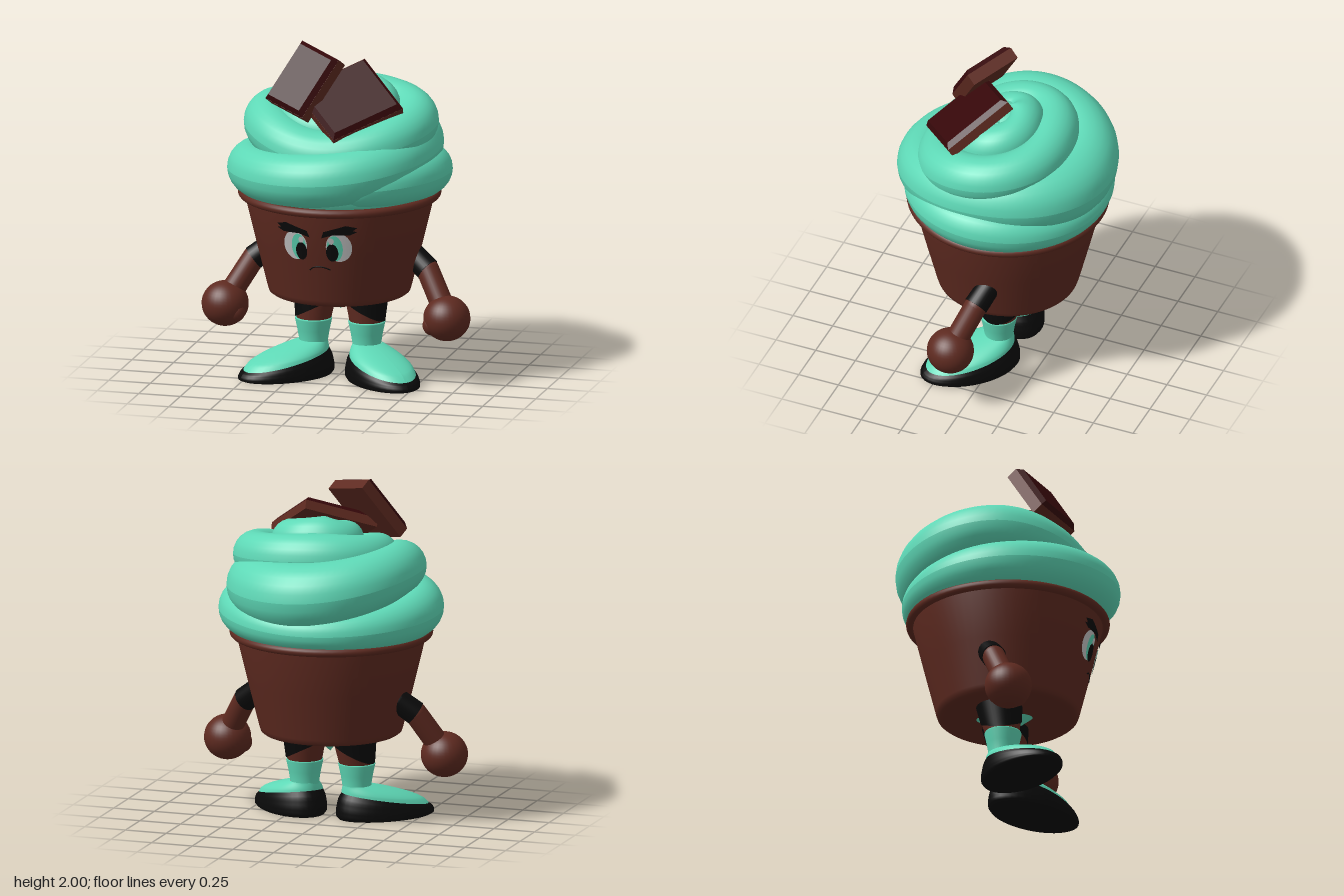
import * as THREE from 'three';
import { ParametricGeometry } from 'three/addons/geometries/ParametricGeometry.js';

const V = (x, y, z) => new THREE.Vector3(x, y, z);

function material(name, color) {
  const m = new THREE.MeshStandardMaterial({ color });
  m.name = name;
  return m;
}

export function createModel() {
  const model = new THREE.Group();
  model.name = 'cupcakeCharacter';
  const brown = material('brown', 0x5e2a20);
  const mint = material('mint', 0x5ed8b6);
  const black = material('black', 0x0a0a0a);
  const chocolate = material('darkChocolate', 0x36080a);
  const white = material('eyeWhite', 0xc8c8c8);

  const add = (name, geometry, mat, pos = V(0, 0, 0)) => {
    const mesh = new THREE.Mesh(geometry, mat);
    mesh.name = name;
    mesh.position.copy(pos);
    model.add(mesh);
    return mesh;
  };
  const surface = (f, nu, nv) => {
    const g = new ParametricGeometry(f, nu, nv);
    g.computeVertexNormals();
    return g;
  };
  const lathe = (pts, n = 64) => new THREE.LatheGeometry(pts.map(p => new THREE.Vector2(...p)), n);
  const limb = (name, a, b, ra, rb, mat) => {
    const d = b.clone().sub(a);
    const m = add(name, new THREE.CylinderGeometry(rb, ra, d.length(), 28), mat, a.clone().add(b).multiplyScalar(0.5));
    m.quaternion.setFromUnitVectors(V(0, 1, 0), d.normalize());
  };

  // Cup and rolled rim
  add('cup', lathe([[0, 0.5], [0.37, 0.5], [0.395, 0.504], [0.41, 0.515], [0.418, 0.54], [0.485, 0.81], [0.55, 1.08], [0.53, 1.11]]), brown);
  const rim = add('cupRim', new THREE.TorusGeometry(0.565, 0.026, 14, 72), brown, V(0, 1.1, 0));
  rim.rotation.x = Math.PI / 2;

  // Frosting core
  add('frostingCore', lathe([[0, 1.09], [0.55, 1.1], [0.54, 1.28], [0.42, 1.45], [0.3, 1.57], [0.16, 1.69], [0.08, 1.74], [0.001, 1.75]]), mint);

  // Frosting rope: height, outer reach and thickness at every quarter turn, from the front
  const keys = [
    [1.23, 0.58, 0.10], [1.245, 0.655, 0.135], [1.20, 0.615, 0.10], [1.24, 0.655, 0.14],
    [1.28, 0.655, 0.16], [1.38, 0.59, 0.17], [1.40, 0.655, 0.20], [1.51, 0.58, 0.15],
    [1.39, 0.51, 0.15], [1.53, 0.57, 0.14], [1.60, 0.43, 0.14], [1.58, 0.42, 0.12],
    [1.51, 0.34, 0.12], [1.62, 0.34, 0.13], [1.67, 0.23, 0.13], [1.66, 0.22, 0.10],
    [1.65, 0.17, 0.09], [1.70, 0.10, 0.07],
  ];
  const rope = new THREE.CatmullRomCurve3(keys.map(k => V(...k)), false, 'catmullrom');
  add('frostingSwirl', surface((u, v, out) => {
    const k = rope.getPoint(v);
    const phi = Math.PI / 2 * v * (keys.length - 1);
    const theta = -2 * Math.PI * u;
    const r = k.z * Math.min(1, v * 60 + 0.02);
    const reach = k.y - k.z + r * Math.cos(theta);
    out.set(reach * Math.sin(phi) + 0.03 * v, k.x + r * Math.sin(theta), reach * Math.cos(phi));
  }, 24, 340), mint);

  // Chocolate squares, placed by top left, top right and bottom left corners of the face
  const slab = (tl, tr, bl, thick) => {
    const u = tr.clone().sub(tl), w = bl.clone().sub(tl);
    const width = u.length(), depth = w.length();
    const x = u.clone().normalize(), y = w.clone().cross(u).normalize();
    const piece = new THREE.Group();
    piece.name = 'chocolateSquare';
    piece.quaternion.setFromRotationMatrix(new THREE.Matrix4().makeBasis(x, y, x.clone().cross(y)));
    piece.position.copy(tr).add(bl).multiplyScalar(0.5);
    const body = new THREE.Mesh(new THREE.BoxGeometry(width, thick, depth), brown);
    body.name = 'chocolateBase';
    body.position.y = -thick / 2 - 0.022;
    const g = new THREE.BoxGeometry(width, 0.03, depth);
    const p = g.attributes.position;
    for (let i = 0; i < p.count; i++) if (p.getY(i) > 0) {
      p.setX(i, p.getX(i) - Math.sign(p.getX(i)) * 0.025);
      p.setZ(i, p.getZ(i) - Math.sign(p.getZ(i)) * 0.025);
    }
    g.computeVertexNormals();
    const face = new THREE.Mesh(g, chocolate);
    face.name = 'chocolateFace';
    face.position.y = -0.008;
    piece.add(body, face);
    model.add(piece);
  };
  slab(V(-0.225, 2.015, 0.08), V(0.04, 1.955, 0.24), V(-0.375, 1.695, 0.265), 0.07);
  slab(V(0.115, 1.915, -0.06), V(0.415, 1.7, 0.19), V(-0.18, 1.74, 0.255), 0.055);

  // Face details wrapped onto the cup wall
  const onCup = (x, y, off) => {
    const r = 0.418 + (y - 0.54) * 0.2444 + off;
    return V(x, y, Math.sqrt(r * r - x * x));
  };
  const decal = (name, pts, side, off, mat) => {
    const n = pts.length;
    const cx = pts.reduce((s, p) => s + p[0], 0) / n, cy = pts.reduce((s, p) => s + p[1], 0) / n;
    add(name, surface((u, v, out) => {
      const t = (side > 0 ? u : 1 - u) * n, i = Math.floor(t), f = t - i;
      const a = pts[i % n], b = pts[(i + 1) % n];
      const x = a[0] + (b[0] - a[0]) * f, y = a[1] + (b[1] - a[1]) * f;
      out.copy(onCup(side * (x + (cx - x) * v), y + (cy - y) * v, off));
    }, n * (n > 10 ? 1 : 4), 5), mat);
  };
  const oval = (cx, cy, rx, ry) => Array.from({ length: 32 }, (_, i) => {
    const a = i / 16 * Math.PI;
    return [cx + rx * Math.cos(a), cy + ry * Math.sin(a)];
  });
  const brow = [[0.035, 0.945], [0.1, 0.965], [0.2, 0.965], [0.24, 0.985], [0.215, 0.99], [0.24, 1.01], [0.18, 1.025], [0.05, 0.985]];
  for (const s of [1, -1]) {
    decal('eyeWhite', oval(0.13, 0.885, 0.074, 0.09), s, 0.003, white);
    decal('iris', oval(0.108, 0.88, 0.045, 0.08), s, 0.005, mint);
    decal('pupil', oval(0.092, 0.853, 0.035, 0.055), s, 0.007, black);
    decal('eyeHighlight', oval(0.09, 0.925, 0.016, 0.02), s, 0.007, white);
    decal('eyebrow', brow, s, 0.009, black);
  }
  const frown = [[-0.05, 0.735], [-0.03, 0.752], [0, 0.76], [0.035, 0.757], [0.075, 0.742]].map(p => onCup(...p, 0.001));
  add('mouth', new THREE.TubeGeometry(new THREE.CatmullRomCurve3(frown), 20, 0.004, 6), black);

  // Hips between the legs
  const hips = add('hips', new THREE.ConeGeometry(0.1, 0.14, 28), mint, V(0, 0.46, -0.02));
  hips.rotation.x = Math.PI;
  hips.scale.z = 2.1;

  for (const s of [1, -1]) {
    // Arm, sleeve and fist
    const shoulder = V(s * 0.43, 0.73, -0.055), cuff = V(s * 0.525, 0.655, -0.02), wrist = V(s * 0.65, 0.44, 0.065);
    add('shoulder', new THREE.SphereGeometry(0.069, 24, 16), black, shoulder);
    limb('sleeve', shoulder, cuff, 0.069, 0.072, black);
    add('elbow', new THREE.SphereGeometry(0.067, 24, 16), brown, cuff);
    limb('forearm', cuff, wrist, 0.067, 0.068, brown);
    const hand = add('hand', new THREE.SphereGeometry(0.137, 32, 24), brown, V(s * 0.667, 0.4, 0.08));
    hand.scale.y = 0.97;
    const thumb = add('thumb', new THREE.SphereGeometry(0.055, 20, 14), brown, V(s * 0.59, 0.365, 0.125));
    thumb.scale.y = 1.1;

    // Thigh, and shorts with a hem that drops towards the outside
    const leg = (low, off) => surface((u, v, out) => {
      const phi = 2 * Math.PI * u;
      const y0 = low(s * Math.sin(phi));
      const y = y0 + (0.54 - y0) * v, t = (y - 0.31) / 0.23;
      const r = 0.098 + 0.036 * t + off;
      out.set(s * (0.16 - 0.014 * t) + r * Math.sin(phi), y, -0.012 - 0.025 * t + r * Math.cos(phi));
    }, 40, 10);
    add('thigh', leg(() => 0.31, 0), brown);
    add('shortsLeg', leg(outward => 0.395 - 0.062 * outward, 0.007), black);
    add('sock', lathe([[0.084, 0.14], [0.084, 0.2], [0.094, 0.26], [0.108, 0.325], [0.106, 0.332], [0.09, 0.332]], 32), mint, V(s * 0.16, 0, -0.01));

    // Shoe: dark sole wall and a mint upper rising to the ankle
    const a = 0.303, b = 0.182;
    const edge = c => 0.105 - 0.05 * c;
    const pos = V(s * 0.29, 0, 0.115);
    const soleProfile = [[0.001, 0], [0.95, 0], [1, 0.12], [1, 0.4], [0.96, 0.75], [0.89, 1]];
    const sole = add('shoeSole', surface((u, v, out) => {
      const t = Math.min(v * 5, 4.9999), i = Math.floor(t), f = t - i;
      const q = soleProfile[i], w = soleProfile[i + 1];
      const r = q[0] + (w[0] - q[0]) * f, h = q[1] + (w[1] - q[1]) * f;
      const phi = 2 * Math.PI * u, c = Math.cos(phi);
      out.set(b * r * Math.sin(phi), h * edge(c), a * r * c);
    }, 40, 15), black, pos);
    const upper = add('shoeUpper', surface((u, v, out) => {
      const phi = 2 * Math.PI * u, c = Math.cos(phi);
      const rx = 0.89 * b * (1 - v) + 0.084 * v, rz = 0.89 * a * (1 - v) + 0.084 * v;
      const y = edge(c) + (0.2 - edge(c)) * Math.pow(v, 0.62);
      out.set(rx * Math.sin(phi), y, rz * c - 0.18 * v);
    }, 40, 14), mint, pos);
    sole.rotation.y = upper.rotation.y = s * Math.PI / 4;
  }
  return model;
}
